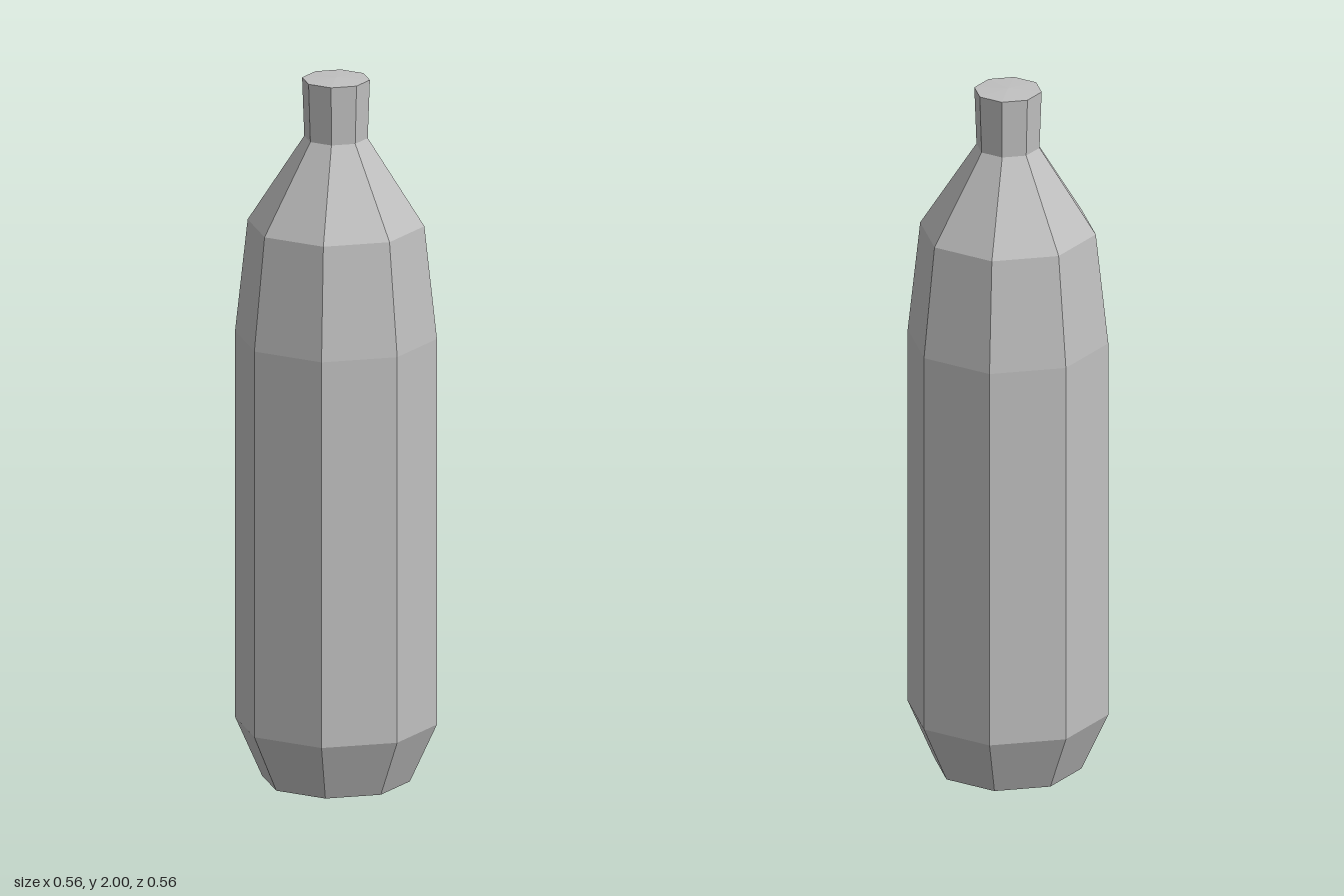
import * as THREE from 'three';

const SIDES = 8;

// Eight-sided faceted section turned from [radius, height] points, bottom to top
function turned(name, profile, material) {
  const points = profile.map(([r, y]) => new THREE.Vector2(r, y));
  const geometry = new THREE.LatheGeometry(points, SIDES).toNonIndexed();
  geometry.computeVertexNormals();
  const mesh = new THREE.Mesh(geometry, material);
  mesh.name = name;
  return mesh;
}

export function createModel() {
  const grey = new THREE.MeshStandardMaterial({ color: 0xc0c0c0, flatShading: true });
  grey.name = 'grey';

  const bottle = new THREE.Group();
  bottle.name = 'bottle';
  bottle.add(
    // Closed underside and tapered foot
    turned('base', [[0, 0.004], [0.205, 0], [0.28, 0.165]], grey),
    // Straight wall, then a slight inward lean
    turned('body', [[0.28, 0.165], [0.28, 1.265], [0.245, 1.585]], grey),
    // Steep slope to the neck
    turned('shoulder', [[0.245, 1.585], [0.088, 1.83]], grey),
    // Slightly flared neck with a closed, barely domed top
    turned('neck', [[0.088, 1.83], [0.094, 1.996], [0, 2]], grey),
  );
  return bottle;
}
